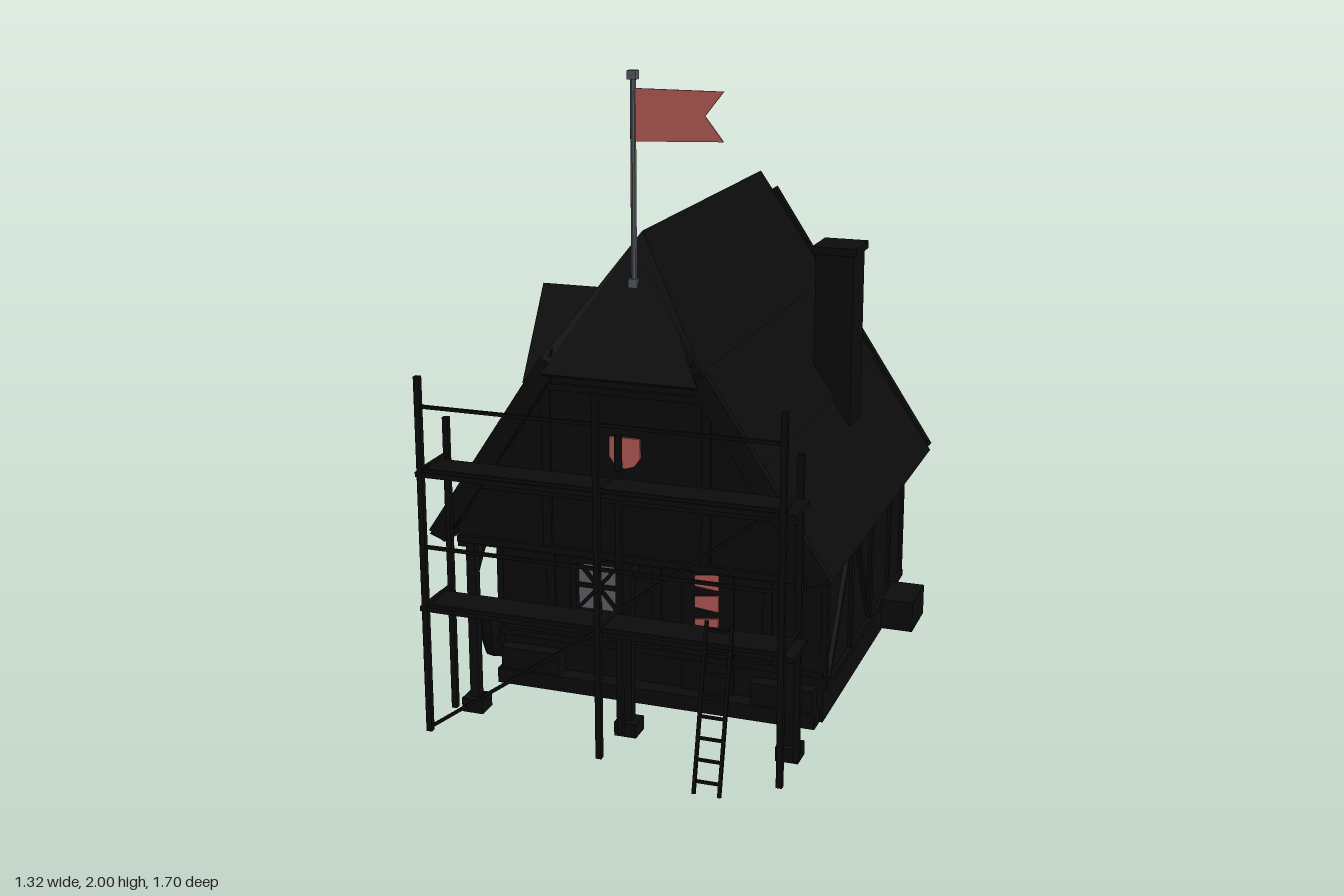
import * as THREE from 'three';

const mat = (name, color, side = THREE.FrontSide) => {
  const m = new THREE.MeshStandardMaterial({ color, side, flatShading: true });
  m.name = name;
  return m;
};
const dark = mat('charcoal', 0x0b0b0b, THREE.DoubleSide);
const red = mat('faded red', 0xb85c56, THREE.DoubleSide);
const iron = mat('pole grey', 0x555a60);
const glass = mat('glass grey', 0x62656a, THREE.DoubleSide);

function add(parent, name, geo, m = dark, x = 0, y = 0, z = 0) {
  const mesh = new THREE.Mesh(geo, m);
  mesh.name = name;
  mesh.position.set(x, y, z);
  parent.add(mesh);
  return mesh;
}
const box = (p, name, w, h, d, x, y, z, m = dark) => add(p, name, new THREE.BoxGeometry(w, h, d), m, x, y, z);

// Straight beam between two points
function bar(p, name, a, b, w, h = w, m = dark) {
  const A = new THREE.Vector3(...a), B = new THREE.Vector3(...b);
  const mesh = add(p, name, new THREE.BoxGeometry(w, h, A.distanceTo(B)), m);
  mesh.position.copy(A).add(B).multiplyScalar(0.5);
  mesh.lookAt(B);
  return mesh;
}
const shapeOf = (pts) => new THREE.Shape(pts.map(([x, y]) => new THREE.Vector2(x, y)));
const extrude = (shape, z0, z1) =>
  new THREE.ExtrudeGeometry(shape, { depth: z1 - z0, bevelEnabled: false }).translate(0, 0, z0);
const group = (parent, name) => {
  const g = new THREE.Group();
  g.name = name;
  parent.add(g);
  return g;
};

// Wall panel: outer face at local z = 0, windows cut through, timber in relief
function wall(parent, name, pts, windows, beams) {
  const g = group(parent, name);
  const s = shapeOf(pts), w = 0.07, h = 0.08;
  for (const [x, y] of windows)
    s.holes.push(new THREE.Path([[x - w, y - h], [x - w, y + h], [x + w, y + h], [x + w, y - h]]
      .map(([a, b]) => new THREE.Vector2(a, b))));
  add(g, 'plaster', extrude(s, -0.02, 0));
  for (const [x, y] of windows) {
    add(g, 'windowGlass', new THREE.PlaneGeometry(2 * w, 2 * h), glass, x, y, -0.008);
    box(g, 'mullion', 0.014, 2 * h, 0.02, x, y, -0.008);
    box(g, 'transom', 2 * w, 0.014, 0.02, x, y, -0.008);
    for (const k of [-1, 1]) {
      bar(g, 'lattice', [x - w, y - k * h, 0], [x + w, y + k * h, 0], 0.008, 0.012);
      box(g, 'windowJamb', 0.02, 2 * h + 0.04, 0.02, x + k * (w + 0.01), y, 0.005);
      box(g, 'windowSill', 2 * w + 0.05, 0.02, 0.024, x, y + k * (h + 0.01), 0.006);
    }
  }
  for (const [x0, y0, x1, y1] of beams) bar(g, 'timber', [x0, y0, 0], [x1, y1, 0], 0.028, 0.02);
  return g;
}

function buildWalls(root) {
  const front = wall(root, 'frontLowerWall', [[-0.54, 0], [0.54, 0], [0.54, 0.55], [-0.54, 0.55]], [[-0.2, 0.35]],
    [[-0.54, 0.16, 0.54, 0.16], [-0.54, 0.53, 0.54, 0.53], [-0.36, 0.16, -0.36, 0.53], [0, 0.16, 0, 0.53], [0.36, 0.16, 0.36, 0.53]]);
  front.position.z = 0.23;
  const gable = wall(root, 'frontGableWall',
    [[-0.55, 0.55], [0.55, 0.55], [0.55, 0.68], [0.21, 1.2], [-0.21, 1.2], [-0.55, 0.68]], [],
    [[-0.55, 0.57, 0.55, 0.57], [-0.5, 0.75, 0.5, 0.75], [-0.27, 1.08, 0.27, 1.08], [-0.25, 0.57, -0.25, 1.08], [0.25, 0.57, 0.25, 1.08]]);
  gable.position.z = 0.5;
  const back = wall(root, 'backWall', [[-0.54, 0], [0.54, 0], [0.54, 0.68], [0, 1.5], [-0.54, 0.68]], [[0, 0.35], [0, 0.86]],
    [[-0.54, 0.12, 0.54, 0.12], [-0.54, 0.57, 0.54, 0.57], [-0.29, 1.03, 0.29, 1.03], [-0.2, 0.12, -0.2, 1.03], [0.2, 0.12, 0.2, 1.03],
      [-0.53, 0.12, -0.53, 0.68], [0.53, 0.12, 0.53, 0.68], [-0.5, 0.14, -0.22, 0.55], [0.5, 0.14, 0.22, 0.55], [0, 1.03, 0, 1.4]]);
  back.position.z = -0.8;
  back.rotation.y = Math.PI;
  // Side walls, with the upper storey reaching over the porch
  for (const k of [-1, 1]) {
    const pts = [[-0.8, 0], [0.23, 0], [0.23, 0.55], [0.5, 0.55], [0.5, 0.68], [-0.8, 0.68]].map(([z, y]) => [-k * z, y]);
    const beams = [[-0.8, 0.12, 0.23, 0.12], [-0.8, 0.55, 0.5, 0.55]];
    for (const z of [-0.79, -0.6, -0.34, -0.08, 0.22]) beams.push([z, 0.12, z, 0.55]);
    beams.push([-0.32, 0.14, -0.1, 0.53], [-0.06, 0.53, 0.2, 0.14]);
    const side = wall(root, k < 0 ? 'leftHandWall' : 'rightHandWall', pts, k < 0 ? [[-0.48, 0.36]] : [],
      beams.map(([a, b, c, d]) => [-k * a, b, -k * c, d]));
    side.position.x = k * 0.54;
    side.rotation.y = k * Math.PI / 2;
  }
  box(root, 'upperFloor', 1.07, 0.02, 1.28, 0, 0.56, -0.15);
  box(root, 'porchStep', 1.06, 0.05, 0.06, 0, 0.025, 0.26);
  for (const x of [-0.42, 0.42]) box(root, 'porchBench', 0.2, 0.12, 0.05, x, 0.06, 0.255);
}

function buildRoof(root) {
  const roof = group(root, 'roof');
  const slopeX = (y) => (1.53 - y) / 1.53;
  const courses = [[0.58, 0.93], [0.9, 1.2], [1.17, 1.53]];
  for (const k of [-1, 1]) {
    courses.forEach(([y0, y1], i) => {
      const x0 = slopeX(y0), x1 = slopeX(y1);
      const geo = extrude(shapeOf([[k * (x0 + 0.012), y0], [k * x1, y1], [k * x1, y1 - 0.06], [k * (x0 - 0.045), y0 - 0.02]]),
        -0.82 - i * 0.004, 0.53 + i * 0.004);
      // Trim the front of the top course back along the half hip
      const p = geo.attributes.position;
      if (i === 2) for (let v = 0; v < p.count; v++)
        if (p.getZ(v) > 0) p.setZ(v, 0.54 - 0.19 * Math.max(0, p.getY(v) - 1.17) / 0.36);
      geo.computeVertexNormals();
      add(roof, 'roofCourse', geo);
    });
    bar(roof, 'backBargeboard', [k * 0.03, 1.46, -0.835], [k * 0.605, 0.58, -0.835], 0.03, 0.06);
    bar(roof, 'frontBargeboard', [k * 0.23, 1.15, 0.525], [k * 0.605, 0.58, 0.525], 0.03, 0.06);
  }
  const hip = add(roof, 'halfHip', extrude(shapeOf([[-0.24, 0], [0.24, 0], [0, 0.452]]), -0.03, 0), dark, 0, 1.13, 0.56);
  hip.rotation.x = -Math.atan2(0.21, 0.4);

  // Dormer facing the -x side
  const dormer = group(root, 'dormer');
  dormer.position.z = -0.285;
  dormer.rotation.y = -Math.PI / 2;
  add(dormer, 'dormerBody', extrude(shapeOf([[-0.14, 0.75], [0.14, 0.75], [0.14, 0.96], [0, 1.17], [-0.14, 0.96]]), 0.2, 0.55));
  for (const k of [-1, 1])
    add(dormer, 'dormerRoof', extrude(shapeOf([[0, 1.2], [k * 0.19, 0.9], [k * 0.16, 0.88], [0, 1.15]]), 0.2, 0.595));
  box(dormer, 'dormerShutter', 0.12, 0.13, 0.02, 0, 0.93, 0.555);

  box(root, 'chimney', 0.125, 0.6, 0.14, 0.415, 1.08, -0.345);
  box(root, 'chimneyCap', 0.145, 0.025, 0.16, 0.415, 1.377, -0.345);
}

function buildScaffold(root) {
  const s = group(root, 'scaffold');
  for (const x of [-0.55, 0, 0.55]) {
    box(s, 'outerPost', 0.018, 1.11, 0.018, x, 0.585, 0.733);
    box(s, 'innerPost', 0.018, 0.94, 0.018, x, 0.5, 0.56);
    for (const y of [0.435, 0.857]) bar(s, 'crossBar', [x, y, 0.57], [x, y, 0.73], 0.01);
  }
  for (const y of [0.412, 0.834]) box(s, 'platform', 1.16, 0.015, 0.14, 0, y, 0.643);
  for (const y of [0.435, 0.62, 0.857, 1.05]) box(s, 'rail', 1.12, 0.01, 0.01, 0, y, 0.733);
  bar(s, 'lowerBrace', [-0.55, 0.04, 0.73], [0, 0.43, 0.73], 0.01);
  bar(s, 'upperBrace', [0.55, 0.85, 0.565], [0, 0.43, 0.565], 0.01);
  // Ladder leaning on the outer side
  for (const x of [0.332, 0.408]) bar(s, 'ladderRail', [x, 0.03, 0.85], [x, 0.51, 0.738], 0.01);
  for (let i = 0; i < 8; i++) {
    const t = (i + 0.6) / 8;
    box(s, 'ladderRung', 0.076, 0.008, 0.008, 0.37, 0.03 + 0.48 * t, 0.85 - 0.112 * t);
  }
}

export function createModel() {
  const root = new THREE.Group();
  root.name = 'timberHouse';
  buildWalls(root);
  buildRoof(root);
  buildScaffold(root);

  // Porch posts carrying the overhang
  for (const x of [-0.51, 0, 0.51]) {
    box(root, 'porchPost', 0.03, 0.55, 0.03, x, 0.28, 0.49);
    box(root, 'postFoot', 0.07, 0.045, 0.07, x, 0.0225, 0.49);
    bar(root, 'postBrace', [x, 0.45, 0.48], [x, 0.55, 0.4], 0.02);
  }

  // Flag on its pole
  add(root, 'flagPole', new THREE.CylinderGeometry(0.009, 0.009, 0.61, 8), iron, 0, 1.685, 0.42);
  box(root, 'poleCap', 0.028, 0.025, 0.028, 0, 1.9875, 0.42, iron);
  box(root, 'poleFoot', 0.028, 0.025, 0.028, 0, 1.39, 0.42, iron);
  add(root, 'flag', extrude(shapeOf([[0.008, 1.8], [0.27, 1.81], [0.215, 1.88], [0.27, 1.95], [0.008, 1.95]]), -0.003, 0.003), red, 0, 0, 0.42);

  // Shield on the gable and strips of cloth by the door
  add(root, 'shield', extrude(shapeOf([[-0.048, 0.945], [-0.048, 0.885], [-0.03, 0.86], [0, 0.85], [0.03, 0.86], [0.048, 0.885], [0.048, 0.945]]), 0, 0.008), red, 0, 0, 0.502);
  box(root, 'door', 0.17, 0.46, 0.015, 0.167, 0.25, 0.232);
  for (const y of [0.25, 0.325, 0.395])
    add(root, 'clothStrip', extrude(shapeOf([[0.128, y + 0.008], [0.205, y], [0.205, y + 0.053], [0.128, y + 0.043]]), 0, 0.006), red, 0, 0, 0.242);

  // Barrel and crate beside the walls
  const profile = [[0, 0], [0.05, 0], [0.061, 0.04], [0.065, 0.08], [0.061, 0.12], [0.05, 0.16], [0, 0.16]];
  add(root, 'barrel', new THREE.LatheGeometry(profile.map(([r, y]) => new THREE.Vector2(r, y)), 10), dark, -0.6, 0.03, 0.12);
  box(root, 'crate', 0.11, 0.105, 0.18, 0.605, 0.083, -0.575);
  return root;
}
